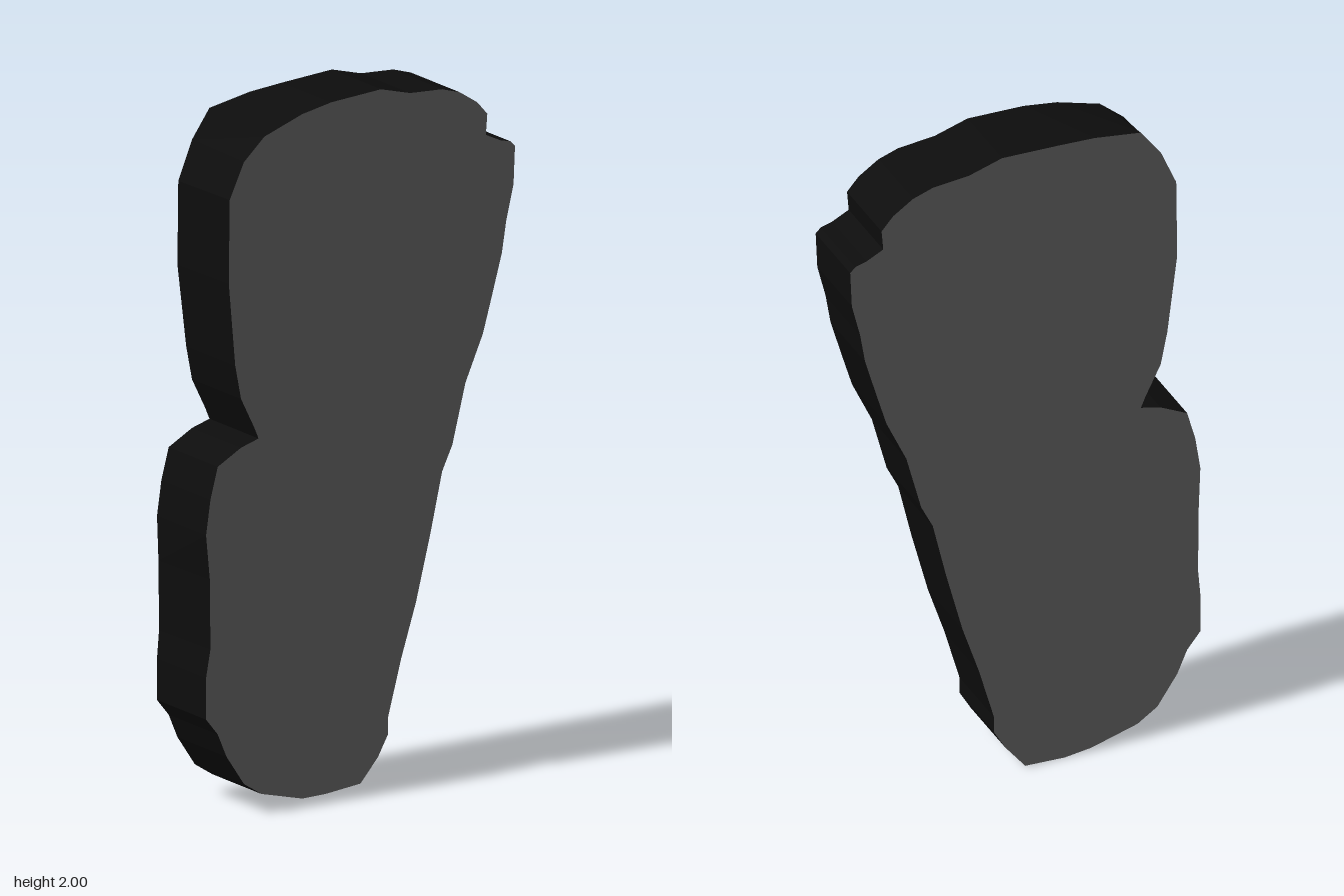
import * as THREE from 'three';

// Slab outline, counter-clockwise from the toe; optional 3rd and 4th values shift the front edge
const OUTLINE = [
  [0, 0.005, 0, 0.01], [0.06, 0.08], [0.095, 0.14], [0.095, 0.19], [0.14, 0.35], [0.19, 0.5],
  [0.24, 0.69], [0.28, 0.86], [0.315, 0.93], [0.36, 1.1], [0.42, 1.23], [0.45, 1.33],
  [0.485, 1.45], [0.5, 1.54], [0.525, 1.64], [0.53, 1.75], [0.515, 1.765], [0.48, 1.775],
  [0.43, 1.8], [0.435, 1.86], [0.4, 1.9], [0.34, 1.94], [0.28, 1.96], [0.17, 1.97],
  [0.07, 2], [-0.1, 1.995], [-0.21, 1.99, 0.01, -0.01], [-0.35, 1.97, 0.02, -0.03],
  [-0.41, 1.89, 0.01, -0.01], [-0.457, 1.78, 0.008, 0], [-0.46, 1.54, 0.008, 0],
  [-0.43, 1.3], [-0.41, 1.2], [-0.365, 1.11], [-0.35, 1.075], [-0.41, 1.06], [-0.49, 1.02],
  [-0.515, 0.93], [-0.53, 0.83], [-0.525, 0.7, 0.008, 0], [-0.523, 0.5, 0.008, 0],
  [-0.53, 0.42], [-0.53, 0.3], [-0.49, 0.25], [-0.46, 0.18], [-0.4, 0.09], [-0.34, 0.05],
  [-0.2, 0.01], [-0.12, 0, 0, 0.008],
];
const DEPTH = 0.224;

export function createModel() {
  const faceGrey = new THREE.MeshStandardMaterial({ color: 0x636363 });
  faceGrey.name = 'faceGrey';
  const edgeBlack = new THREE.MeshStandardMaterial({ color: 0x0d0d0d });
  edgeBlack.name = 'edgeBlack';

  const shape = new THREE.Shape(OUTLINE.map(([x, y]) => new THREE.Vector2(x, y)));
  const geometry = new THREE.ExtrudeGeometry(shape, { depth: DEPTH, bevelEnabled: false });
  geometry.translate(0, 0, -DEPTH / 2);

  // Shift the front edge where the rim is slightly slanted
  const pos = geometry.attributes.position;
  for (let i = 0; i < pos.count; i++) {
    if (pos.getZ(i) < 0) continue;
    const x = pos.getX(i), y = pos.getY(i);
    const point = OUTLINE.find(([px, py]) => Math.hypot(px - x, py - y) < 1e-4);
    if (point) pos.setXY(i, x + (point[2] ?? 0), y + (point[3] ?? 0));
  }
  geometry.computeVertexNormals();

  // Grey front and back, black rim
  const slab = new THREE.Mesh(geometry, [faceGrey, edgeBlack]);
  slab.name = 'slab';

  const model = new THREE.Group();
  model.name = 'notchedSlab';
  model.add(slab);
  return model;
}
